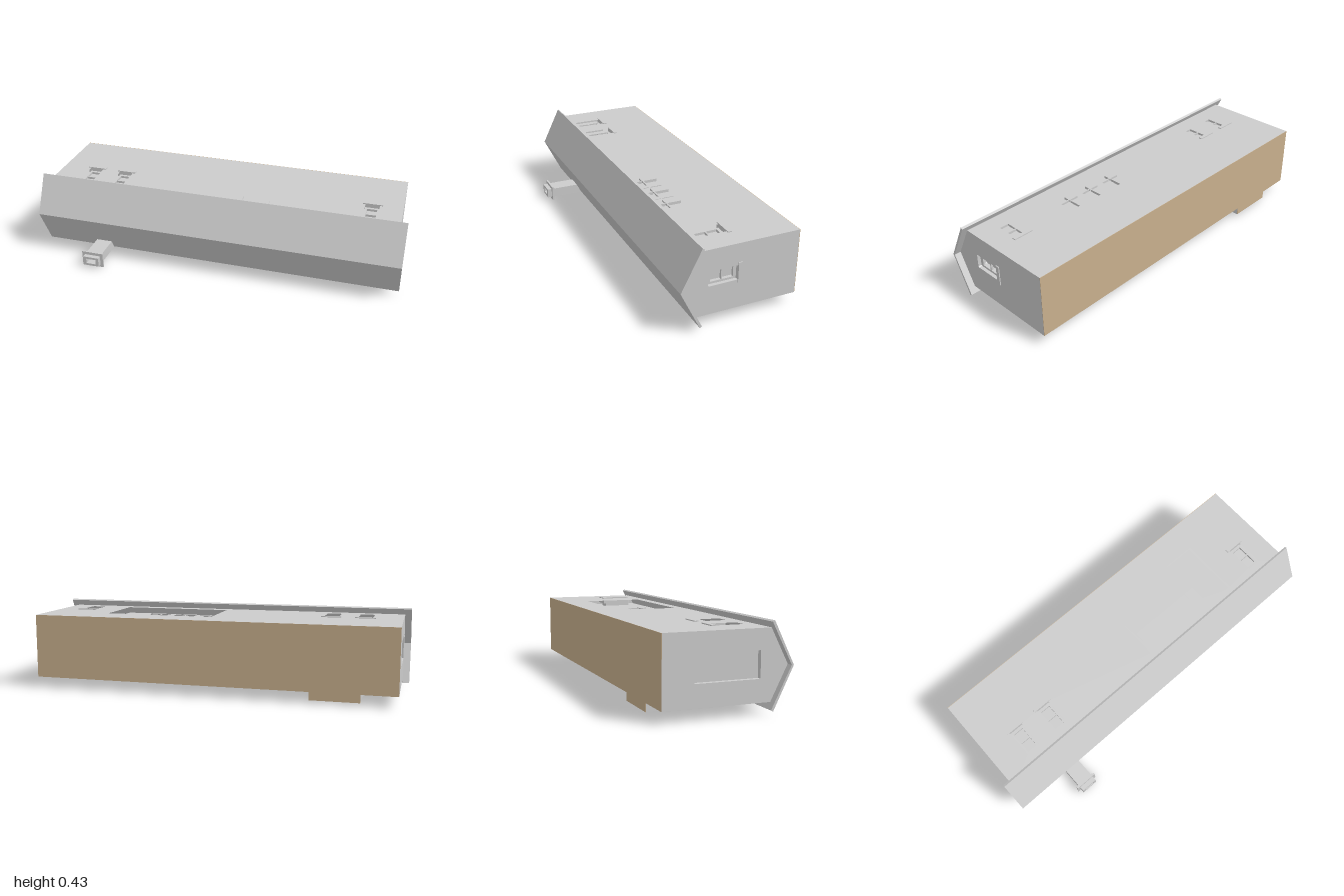
import * as THREE from 'three';

const WALL = 0.05;            // wall thickness, also depth of openings
const END = 0.965;            // half length of the house
const FLOOR = -0.368;
const grey = new THREE.MeshStandardMaterial({ color: 0xcccccc, flatShading: true });
const tan = new THREE.MeshStandardMaterial({ color: 0xc8b08e, side: THREE.DoubleSide });

const polygon = (points) => new THREE.Shape(points.map(([a, b]) => new THREE.Vector2(a, b)));
const rect = (a0, b0, a1, b1) => [[a0, b0], [a1, b0], [a1, b1], [a0, b1]];

function extrude(points, holes, depth) {
  const shape = polygon(points);
  holes.forEach((h) => shape.holes.push(polygon(h)));
  return new THREE.ExtrudeGeometry(shape, { depth, bevelEnabled: false });
}

function add(parent, name, geometry, material = grey) {
  const mesh = new THREE.Mesh(geometry, material);
  mesh.name = name;
  parent.add(mesh);
  return mesh;
}

// Box given by its two extreme corners
function box(parent, name, [x0, y0, z0], [x1, y1, z1], material) {
  const g = new THREE.BoxGeometry(x1 - x0, y1 - y0, z1 - z0);
  g.translate((x0 + x1) / 2, (y0 + y1) / 2, (z0 + z1) / 2);
  return add(parent, name, g, material);
}

// Cross-section in (z, y), extruded along x from x0 to x1
const alongX = (points, holes, x0, x1) =>
  extrude(points, holes, x1 - x0).rotateY(-Math.PI / 2).translate(x1, 0, 0);

// Panel in (x, z), extruded along y from y0 to y1
const alongY = (points, holes, y0, y1) => {
  const flip = (list) => list.map(([x, z]) => [x, -z]);
  return extrude(flip(points), holes.map(flip), y1 - y0).rotateX(-Math.PI / 2).translate(0, y0, 0);
};

// Window outline with clipped upper corners; c is its centre across the wall
const opening = (c) => [
  [c - 0.038, -0.05], [c + 0.038, -0.05], [c + 0.038, 0.099],
  [c + 0.034, 0.105], [c - 0.034, 0.105], [c - 0.038, 0.099],
];

// Two-pane window: local x across, y towards the roof, z out of the wall
function makeWindow() {
  const group = new THREE.Group();
  group.name = 'window';
  const panes = [rect(-0.027, -0.032, 0.027, 0.024), rect(-0.027, 0.03, 0.027, 0.086)];
  const sash = extrude(opening(0), panes, 0.012);
  sash.translate(0, 0, -0.03);
  add(group, 'windowSash', sash);
  box(group, 'windowSill', [-0.053, -0.068, -0.03], [0.053, -0.048, 0.005]);
  return group;
}

export function createModel() {
  const house = new THREE.Group();
  house.name = 'house';

  // Solid core behind the outer walls
  const core = [[FLOOR, 0.06], [0.162, 0.06], [0.249, 0.23], [0.187, 0.35], [FLOOR, 0.35]];
  add(house, 'houseCore', alongX(core, [], -END + WALL, END - WALL));

  // Gable walls: a window on one end, a wide recess on the other
  const gable = [[FLOOR, 0.06], [0.162, 0.06], [0.249, 0.23], [0.162, 0.4], [FLOOR, 0.4]];
  const sideWindow = opening(0.248).map(([y, z]) => [z, y]);
  add(house, 'leftGableWall', alongX(gable, [sideWindow], END - WALL, END));
  add(house, 'rightGableWall', alongX(gable, [rect(-0.215, 0.17, 0.11, 0.3)], -END, -END + WALL));
  box(house, 'sideDoorPanel', [-END + 0.025, 0.165, -0.22], [-END + WALL + 0.002, 0.305, 0.115]);

  // Front wall with window holes and the large door recess
  const windowX = [-0.77, -0.59, 0.805];
  const recess = rect(0.025, -0.215, 0.615, 0.11);
  const front = rect(-END + WALL, FLOOR, END - WALL, 0.162);
  add(house, 'frontWall', alongY(front, [...windowX.map(opening), recess], 0.35, 0.4));

  // Door panel with three groups of small panes
  const panes = [];
  for (const start of [0.05, 0.198, 0.346]) {
    for (const x of [start, start + 0.063]) {
      panes.push(rect(x, -0.035, x + 0.057, 0.044), rect(x, 0.052, x + 0.057, 0.09));
    }
  }
  add(house, 'doorPanel', alongY(recess, panes, 0.35, 0.368));

  // Windows
  const X = new THREE.Vector3(1, 0, 0);
  const Y = new THREE.Vector3(0, 1, 0);
  const Z = new THREE.Vector3(0, 0, 1);
  const place = (basis, x, y) => {
    const w = makeWindow();
    w.quaternion.setFromRotationMatrix(basis);
    w.position.set(x, y, 0);
    house.add(w);
  };
  const frontBasis = new THREE.Matrix4().makeBasis(X.clone().negate(), Z, Y);
  windowX.forEach((x) => place(frontBasis, x, 0.4));
  place(new THREE.Matrix4().makeBasis(Y, Z, X), END, 0.248);

  // Two sloping roof slabs meeting at the ridge
  for (const side of [1, -1]) {
    const slab = [[0.26, 0], [0.158, 0.206], [0.147, 0.2], [0.249, 0]].map(([z, y]) => [z, 0.23 + side * y]);
    add(house, side > 0 ? 'frontRoof' : 'rearRoof', alongX(slab, [], -1, 1));
  }

  // Chimney: wide base with sloping shoulders, then a hollow stack and cap
  const shoulders = [
    [-0.78, FLOOR], [-0.525, FLOOR], [-0.525, 0.035], [-0.608, 0.12], [-0.697, 0.12], [-0.78, 0.035],
  ];
  add(house, 'chimneyBase', alongY(shoulders, [], 0.018, 0.061));
  const flue = rect(-0.68, 0.03, -0.625, 0.058);
  const stack = extrude(rect(-0.697, 0.018, -0.608, 0.07), [flue], 0.25).translate(0, 0, 0.12);
  add(house, 'chimneyStack', stack);
  box(house, 'flueBottom', [-0.685, 0.025, 0.28], [-0.62, 0.062, 0.3], tan);
  const collar = (name, grow, z, depth) => {
    const hole = rect(-0.697, 0.018, -0.608, 0.07);
    const outer = rect(-0.697 - grow, 0.018 - grow, -0.608 + grow, 0.07 + grow);
    add(house, name, extrude(outer, [hole], depth).translate(0, 0, z));
  };
  collar('chimneyCap', 0.016, 0.335, 0.01);
  collar('chimneyCollar', 0.007, 0.329, 0.006);

  // Floor slab under the house and the chimney base
  box(house, 'floor', [-END, 0.06, -0.37], [END, 0.4, FLOOR], tan);
  box(house, 'chimneyFooting', [-0.78, 0.018, -0.37], [-0.525, 0.06, FLOOR], tan);

  // Settle on the ground
  const model = new THREE.Group();
  model.name = 'model';
  house.position.y = -0.002;
  model.add(house);
  return model;
}
